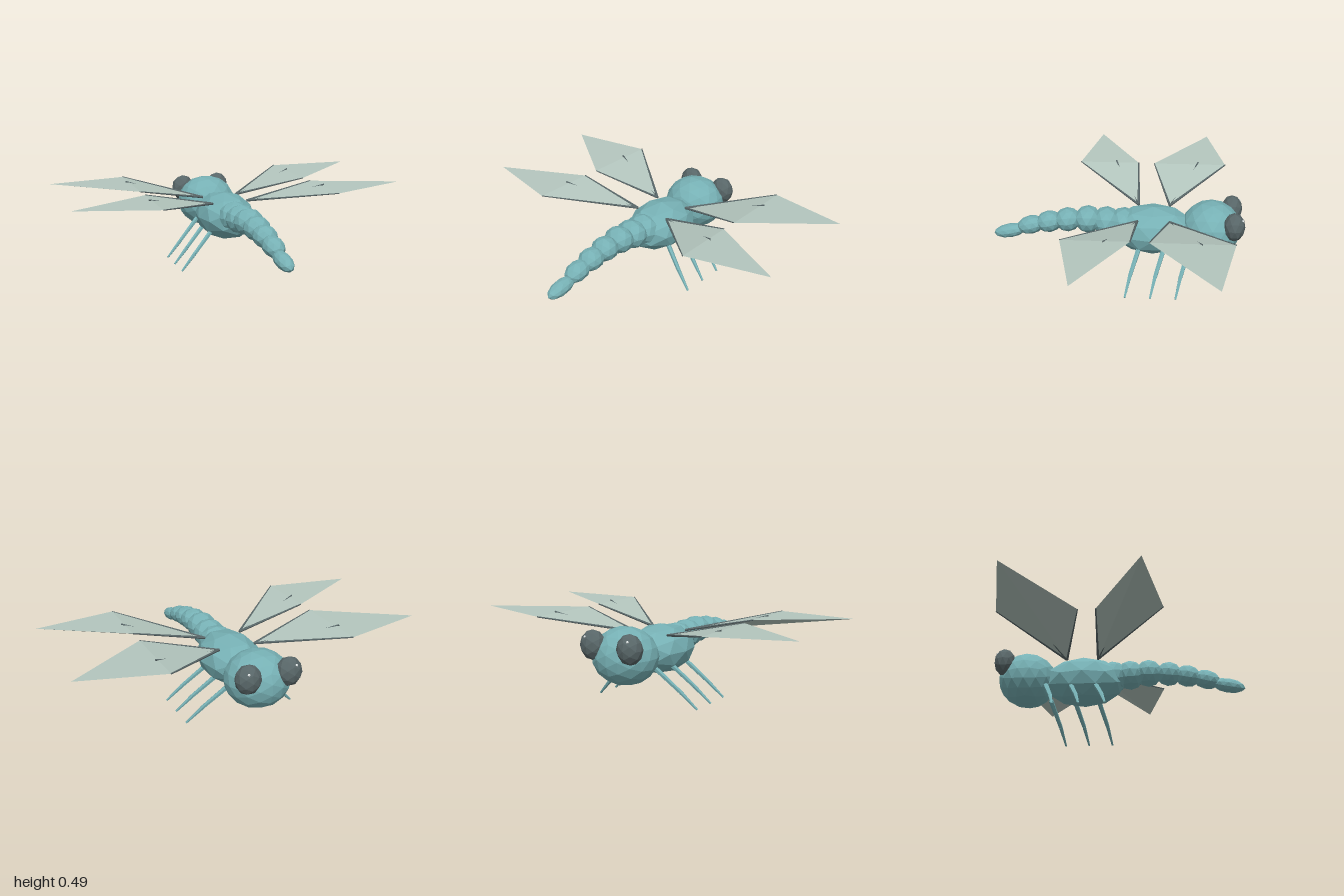
import * as THREE from 'three';
import { ConvexGeometry } from 'three/addons/geometries/ConvexGeometry.js';

const mat = (name, color, flat = true) => {
  const m = new THREE.MeshStandardMaterial({ color, flatShading: flat });
  m.name = name;
  return m;
};
const V = (x, y, z) => new THREE.Vector3(x, y, z);

export function createModel() {
  const body = mat('bodyTeal', 0x76b0b4);
  const dark = mat('darkGrey', 0x586668);
  const wingMat = mat('wingPale', 0xb4c6be);
  const pale = mat('eyeGlint', 0xe8eeee);
  const model = new THREE.Group();
  model.name = 'dragonfly';

  const add = (name, geometry, material, parent = model) => {
    const mesh = new THREE.Mesh(geometry, material);
    mesh.name = name;
    parent.add(mesh);
    return mesh;
  };
  // Faceted ellipsoid
  const blob = (name, material, pos, radii, detail = 1, tilt = 0) => {
    const mesh = add(name, new THREE.IcosahedronGeometry(1, detail), material);
    mesh.position.set(...pos);
    mesh.scale.set(...radii);
    mesh.rotation.x = tilt;
    return mesh;
  };
  // Tapered rod between two points
  const rod = (name, material, a, b, ra, rb, parent) => {
    const d = b.clone().sub(a);
    const mesh = add(name, new THREE.CylinderGeometry(rb, ra, d.length(), 6), material, parent);
    mesh.position.copy(a).add(b).multiplyScalar(0.5);
    mesh.quaternion.setFromUnitVectors(V(0, 1, 0), d.normalize());
    return mesh;
  };

  // Head and thorax
  blob('head', body, [0, 0.303, -0.555], [0.185, 0.16, 0.175], 2);
  blob('thorax', body, [0, 0.285, -0.215], [0.172, 0.142, 0.25]);

  // Tail segments: y, z, radius, half length, tilt
  [
    [0.315, -0.04, 0.105, 0.09, -0.1],
    [0.325, 0.06, 0.097, 0.085, -0.05],
    [0.335, 0.17, 0.09, 0.082, 0],
    [0.328, 0.29, 0.08, 0.08, 0.12],
    [0.311, 0.402, 0.072, 0.08, 0.2],
    [0.285, 0.513, 0.062, 0.085, 0.25],
    [0.242, 0.64, 0.047, 0.1, 0.2],
  ].forEach(([y, z, r, len, tilt], i) =>
    blob(`tailSegment${i + 1}`, body, [0, y, z], [r, r * 0.88, len], 1, tilt));

  for (const s of [1, -1]) {
    const side = s > 0 ? 'Left' : 'Right';

    // Eyes with a tiny glint
    blob(`eye${side}`, dark, [s * 0.119, 0.371, -0.678], [0.074, 0.083, 0.063]);
    blob(`eyeGlint${side}`, pale, [s * 0.138, 0.42, -0.722], [0.008, 0.008, 0.008], 0);

    // Wings: shallow keeled wedges with veins
    [
      { name: 'frontWing', root: -0.31, lead: -0.655, trail: -0.205, tip: -0.555, mid: -0.485 },
      { name: 'hindWing', root: -0.125, lead: -0.105, trail: 0.265, tip: 0.16, mid: 0.04 },
    ].forEach((w) => {
      const wing = new THREE.Group();
      wing.name = w.name + side;
      model.add(wing);
      const root = V(s * 0.11, 0.385, w.root);
      const lead = V(s * 0.53, 0.479, w.lead);
      const trail = V(s * 0.53, 0.477, w.trail);
      const tip = V(s, 0.49, w.tip);
      add('membrane', new ConvexGeometry([root, lead, trail, tip]), wingMat, wing);
      rod('leadingVein', dark, root, lead, 0.008, 0.004, wing);
      rod('trailingVein', dark, root, trail, 0.007, 0.003, wing);
      const end = V(s * 0.55, 0.484, w.mid);
      const sag = root.clone().lerp(end, 0.6).add(V(0, -0.02, 0));
      add('middleVein', new THREE.TubeGeometry(
        new THREE.QuadraticBezierCurve3(root, sag, end), 8, 0.005, 5), dark, wing);
    });

    // Legs: two tapered sections, swept backward
    [-0.43, -0.285, -0.14].forEach((z, i) => {
      const leg = new THREE.Group();
      leg.name = `leg${side}${i + 1}`;
      model.add(leg);
      const hip = V(s * 0.11, 0.22, z);
      const knee = V(s * 0.24, 0.095, z + 0.048);
      const foot = V(s * 0.33, 0.005, z + 0.073);
      rod('upperLeg', body, hip, knee, 0.015, 0.012, leg);
      rod('lowerLeg', body, knee, foot, 0.012, 0.006, leg);
    });
  }
  return model;
}
